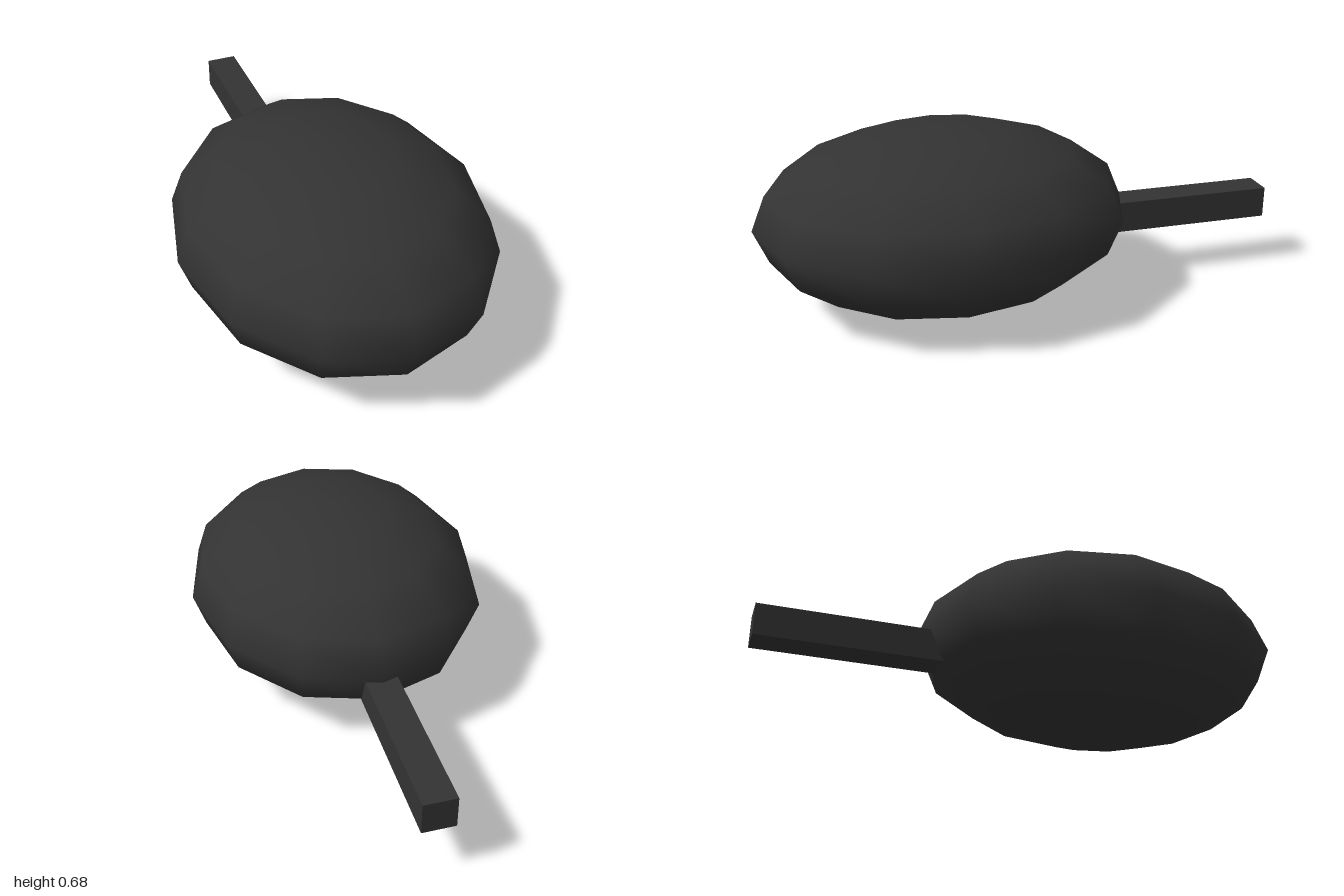
import * as THREE from 'three';

export function createModel() {
  const model = new THREE.Group();
  const charcoal = new THREE.MeshStandardMaterial({ color: 0x333333 });
  charcoal.name = 'charcoal';

  // Flattened oval body: a coarse, smooth-shaded ellipsoid
  const bodyGeometry = new THREE.SphereGeometry(1, 12, 8);
  bodyGeometry.scale(0.57, 0.338, 0.7);
  const body = new THREE.Mesh(bodyGeometry, charcoal);
  body.name = 'body';
  body.position.set(0, 0.338, 0.3);
  model.add(body);

  // Square bar at the back, its inner end sunk into the body
  const back = -1, inner = -0.2;
  const handle = new THREE.Mesh(new THREE.BoxGeometry(0.12, 0.12, inner - back), charcoal);
  handle.name = 'handle';
  handle.position.set(0, 0.26, (inner + back) / 2);
  model.add(handle);

  return model;
}
